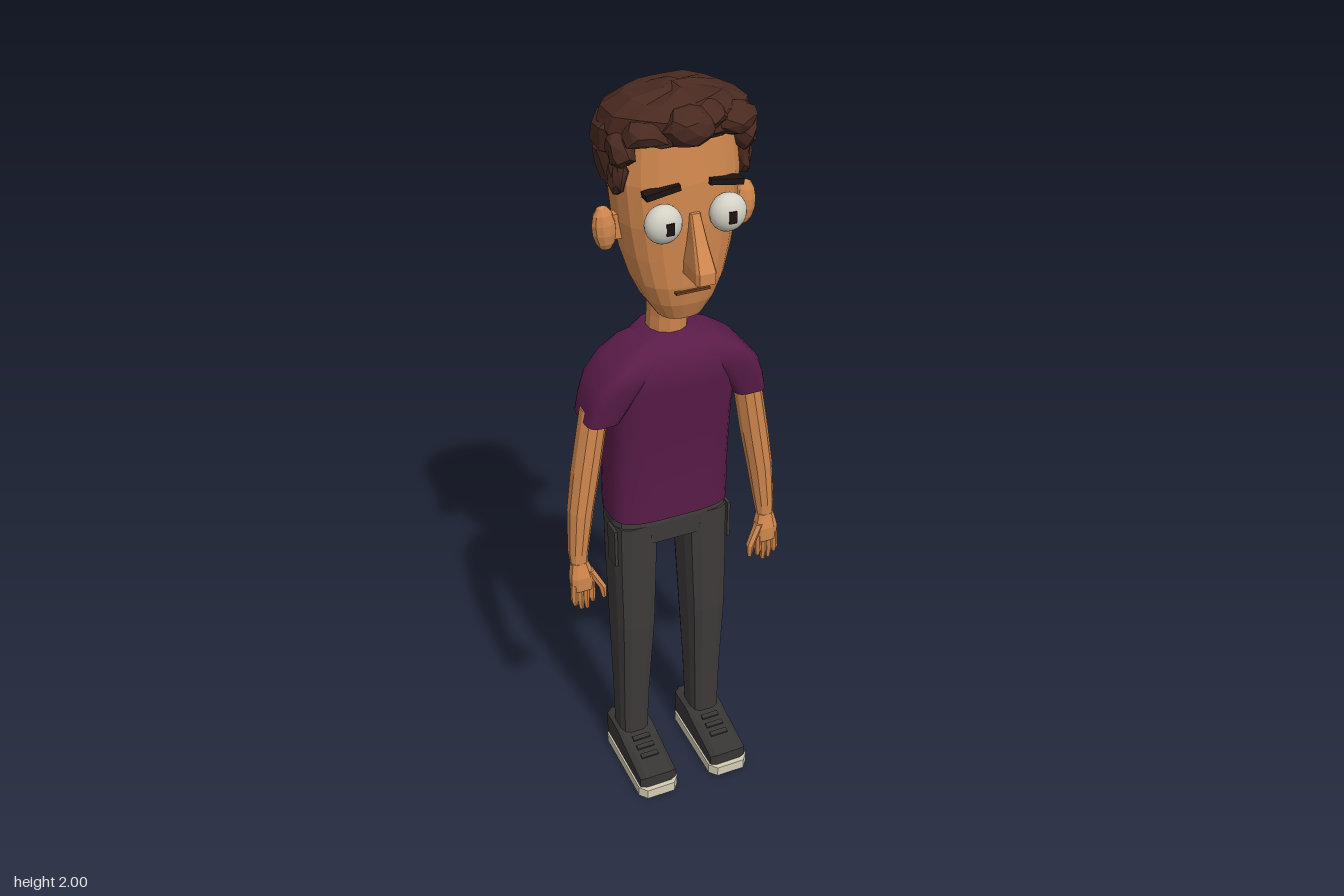
import * as THREE from 'three';
import { toCreasedNormals } from 'three/addons/utils/BufferGeometryUtils.js';

const mat = (name, color) => {
  const m = new THREE.MeshStandardMaterial({ color });
  m.name = name;
  return m;
};

// Surface through horizontal rings, bottom to top: [y, centreX, halfWidth, zFront, zBack]
function loft(rings, n = 12, power = 2.5) {
  const pos = [], idx = [];
  const bend = v => Math.sign(v) * Math.abs(v) ** (2 / power);
  for (const [y, cx, rx, zf, zb] of rings) {
    for (let i = 0; i < n; i++) {
      const a = ((i + 0.5) / n) * Math.PI * 2;
      pos.push(cx + rx * bend(Math.cos(a)), y, (zf + zb) / 2 + ((zf - zb) / 2) * bend(Math.sin(a)));
    }
  }
  const last = rings.length - 1;
  for (const r of [rings[0], rings[last]]) pos.push(r[1], r[0], (r[3] + r[4]) / 2);
  const bottom = n * rings.length;
  for (let i = 0; i < n; i++) {
    const j = (i + 1) % n;
    for (let k = 0; k < last; k++) {
      const a = k * n + i, b = k * n + j;
      idx.push(a, a + n, b, b, a + n, b + n);
    }
    idx.push(bottom, i, j, bottom + 1, last * n + j, last * n + i);
  }
  const g = new THREE.BufferGeometry();
  g.setAttribute('position', new THREE.Float32BufferAttribute(pos, 3));
  g.setIndex(idx);
  return g;
}

function flat(g) {
  const f = g.index ? g.toNonIndexed() : g;
  f.computeVertexNormals();
  return f;
}

// Shifts each vertex by an amount that depends only on where it is
function ruffle(g, amount) {
  const p = g.attributes.position;
  const noise = (x, y, z, k) => {
    const s = Math.sin(Math.round(x * 1e4) * 0.127 + Math.round(y * 1e4) * 0.311 + Math.round(z * 1e4) * 0.747 + k) * 437.58;
    return (s - Math.floor(s) - 0.5) * 2 * amount;
  };
  for (let i = 0; i < p.count; i++) {
    const x = p.getX(i), y = p.getY(i), z = p.getZ(i);
    p.setXYZ(i, x + noise(x, y, z, 1), y + noise(x, y, z, 2), z + noise(x, y, z, 3));
  }
  return g;
}

export function createModel() {
  const model = new THREE.Group();
  const skin = mat('skin', 0xd0874e), hair = mat('hair', 0x492a20), shirt = mat('shirt', 0x5a1c49);
  const cloth = mat('trousers', 0x3e3a3a), shoe = mat('shoe', 0x383535), sole = mat('sole', 0xd3ccb4);
  const eyeWhite = mat('eyeWhite', 0xd4d2c5), dark = mat('dark', 0x1e1212), lip = mat('lip', 0x6e3a22);

  const add = (name, geo, m, parent = model) => {
    const mesh = new THREE.Mesh(geo, m);
    mesh.name = name;
    parent.add(mesh);
    return mesh;
  };
  const box = (name, w, h, d, x, y, z, m) => {
    const b = add(name, new THREE.BoxGeometry(w, h, d), m);
    b.position.set(x, y, z);
    return b;
  };

  // Head, neck and nose
  add('head', flat(loft([
    [1.455, 0, 0.055, 0.065, -0.05], [1.5, 0, 0.085, 0.085, -0.08], [1.55, 0, 0.108, 0.096, -0.1],
    [1.62, 0, 0.128, 0.099, -0.12], [1.7, 0, 0.142, 0.103, -0.132], [1.8, 0, 0.15, 0.1, -0.14],
    [1.89, 0, 0.142, 0.09, -0.13], [1.95, 0, 0.1, 0.06, -0.1]], 20)), skin);
  add('neck', flat(loft([[1.33, 0, 0.052, -0.005, -0.115], [1.42, 0, 0.05, 0.0, -0.105],
    [1.53, 0, 0.052, 0.02, -0.095]], 12, 2)), skin);
  add('nose', flat(loft([[1.59, 0, 0.025, 0.176, 0.08], [1.618, 0, 0.025, 0.176, 0.08],
    [1.67, 0, 0.018, 0.145, 0.08], [1.735, 0, 0.012, 0.11, 0.07]], 8, 8)), skin);
  box('mouth', 0.085, 0.006, 0.02, 0, 1.54, 0.09, lip);

  // Shirt body
  add('shirtBody', toCreasedNormals(loft([
    [0.85, 0, 0.16, 0.015, -0.165], [1.0, 0, 0.16, 0.02, -0.165], [1.15, 0, 0.16, 0.035, -0.155],
    [1.25, 0, 0.165, 0.05, -0.142], [1.32, 0, 0.15, 0.058, -0.128], [1.36, 0, 0.095, 0.035, -0.12],
    [1.382, 0, 0.06, 0.005, -0.115]], 24, 3.6), 0.8), shirt);

  // Trouser seat
  add('trouserSeat', flat(loft([[0.77, 0, 0.15, 0.0, -0.145], [0.83, 0, 0.158, 0.004, -0.152],
    [0.86, 0, 0.156, 0.0, -0.15]], 16, 4)), cloth);

  // Shoe outlines: sole seen from below, upper seen from the side
  const soleShape = new THREE.Shape([[-0.035, -0.14], [0.035, -0.14], [0.058, -0.115], [0.058, 0.12],
    [0.04, 0.142], [-0.04, 0.142], [-0.058, 0.12], [-0.058, -0.115]].map(p => new THREE.Vector2(...p)));
  const upperShape = new THREE.Shape([[-0.125, 0.03], [0.12, 0.03], [0.12, 0.058], [0.0, 0.084],
    [-0.045, 0.098], [-0.125, 0.098]].map(p => new THREE.Vector2(...p)));

  for (const s of [1, -1]) {
    const side = s > 0 ? 'left' : 'right';

    // Face details
    const eye = add(side + 'Eye', new THREE.SphereGeometry(1, 20, 14), eyeWhite);
    eye.scale.set(0.044, 0.045, 0.034);
    eye.position.set(0.078 * s, 1.725, 0.109);
    box(side + 'Pupil', 0.018, 0.028, 0.008, 0.075 * s, 1.725, 0.14, dark);
    box(side + 'Brow', 0.082, 0.014, 0.03, 0.076 * s, 1.796, 0.094, dark).rotation.z = -0.16 * s;
    const ear = add(side + 'Ear', flat(new THREE.SphereGeometry(1, 10, 7).toNonIndexed()), skin);
    ear.scale.set(0.029, 0.055, 0.024);
    ear.position.set(0.173 * s, 1.685, -0.004);
    ear.rotation.z = -0.08 * s;
    box(side + 'EarRoot', 0.04, 0.06, 0.025, 0.148 * s, 1.685, -0.01, skin);

    // Sleeve
    add(side + 'Sleeve', toCreasedNormals(loft([
      [1.182, 0.195 * s, 0.044, 0.034, -0.095], [1.23, 0.175 * s, 0.054, 0.042, -0.1],
      [1.28, 0.15 * s, 0.062, 0.05, -0.105], [1.325, 0.11 * s, 0.062, 0.054, -0.11],
      [1.355, 0.08 * s, 0.045, 0.035, -0.105], [1.37, 0.065 * s, 0.03, 0.01, -0.09]], 20, 4), 0.9), shirt);

    // Arm and hand
    add(side + 'Arm', flat(loft([
      [0.755, 0.265 * s, 0.022, 0.008, -0.032], [0.8, 0.263 * s, 0.027, 0.008, -0.045],
      [0.92, 0.25 * s, 0.034, 0.01, -0.06], [1.03, 0.232 * s, 0.037, 0.01, -0.065],
      [1.21, 0.202 * s, 0.036, 0.01, -0.065]], 10, 2)), skin);
    add(side + 'Palm', flat(loft([[0.69, 0.262 * s, 0.032, 0.017, -0.018], [0.73, 0.262 * s, 0.033, 0.018, -0.024],
      [0.77, 0.264 * s, 0.022, 0.008, -0.03]], 8, 3)), skin);
    for (let i = 0; i < 4; i++) {
      const x = (0.238 + i * 0.016) * s, tip = [0.645, 0.628, 0.63, 0.645][i];
      add(side + 'Finger', flat(loft([[tip, x, 0.006, 0.014, -0.004],
        [0.66, x + 0.002 * s, 0.009, 0.017, -0.008], [0.71, x, 0.009, 0.015, -0.012]], 6, 2)), skin);
    }
    add(side + 'Thumb', flat(loft([[0.655, 0.21 * s, 0.006, 0.022, 0.006], [0.69, 0.213 * s, 0.011, 0.024, 0.0],
      [0.745, 0.242 * s, 0.012, 0.016, -0.014]], 6, 2)), skin);

    // Trouser leg with pockets
    add(side + 'Leg', flat(loft([
      [0.085, 0.109 * s, 0.041, -0.022, -0.115], [0.25, 0.107 * s, 0.045, -0.015, -0.12],
      [0.5, 0.103 * s, 0.054, 0.004, -0.132], [0.7, 0.1 * s, 0.059, 0.004, -0.144],
      [0.83, 0.097 * s, 0.061, 0.003, -0.15]], 12, 3.5)), cloth);
    box(side + 'SidePocket', 0.008, 0.11, 0.05, 0.16 * s, 0.77, -0.04, cloth);
    box(side + 'BackPocket', 0.075, 0.075, 0.008, 0.095 * s, 0.795, -0.152, cloth);

    // Shoe
    const foot = new THREE.Group();
    foot.name = side + 'Shoe';
    foot.position.x = 0.107 * s;
    model.add(foot);
    const bottom = new THREE.ExtrudeGeometry(soleShape, { depth: 0.03, bevelEnabled: false });
    bottom.rotateX(Math.PI / 2).translate(0, 0.03, 0);
    add('sole', bottom, sole, foot);
    const top = new THREE.ExtrudeGeometry(upperShape,
      { depth: 0.074, bevelSize: 0.008, bevelThickness: 0.016, bevelSegments: 1 });
    top.rotateY(-Math.PI / 2).translate(0.037, 0, 0);
    add('upper', top, shoe, foot);
    for (let i = 0; i < 3; i++) {
      const lace = add('lace', new THREE.BoxGeometry(0.05, 0.008, 0.014), shoe, foot);
      lace.position.set(0, 0.094 - i * 0.0065, 0.0 + i * 0.03);
      lace.rotation.x = 0.21;
    }
  }

  // Hair: stepped layers at the back, a broad crown, then loose locks
  const hairLayers = [
    [[1.695, 0, 0.08, -0.09, -0.125], [1.73, 0, 0.125, -0.02, -0.148], [1.79, 0, 0.153, 0.0, -0.163], [1.82, 0, 0.14, 0, -0.14]],
    [[1.765, 0, 0.145, 0.015, -0.15], [1.8, 0, 0.162, 0.045, -0.17], [1.85, 0, 0.17, 0.05, -0.17], [1.88, 0, 0.15, 0.03, -0.14]],
    [[1.845, 0, 0.155, 0.03, -0.15], [1.865, 0, 0.172, 0.06, -0.17], [1.91, 0, 0.174, 0.08, -0.165], [1.93, 0, 0.15, 0.06, -0.14]],
    [[1.895, 0, 0.155, 0.095, -0.13], [1.915, 0, 0.17, 0.11, -0.15], [1.95, 0, 0.16, 0.11, -0.14],
      [1.98, 0, 0.115, 0.085, -0.1], [1.992, 0, 0.05, 0.04, -0.05]],
  ];
  for (const rings of hairLayers) add('hairLayer', flat(ruffle(loft(rings, 14, 2.2), 0.007)), hair);

  // Locks: centre, then radii
  const locks = [
    [-0.015, 1.935, 0.1, 0.058, 0.045, 0.052], [0.035, 1.945, 0.075, 0.05, 0.035, 0.05],
    [-0.095, 1.92, 0.065, 0.06, 0.036, 0.045], [0.105, 1.925, 0.065, 0.06, 0.038, 0.045],
    [-0.145, 1.88, 0.035, 0.032, 0.04, 0.045], [0.145, 1.88, 0.035, 0.03, 0.045, 0.045],
    [-0.15, 1.825, 0.03, 0.02, 0.055, 0.03], [0.15, 1.825, 0.03, 0.02, 0.055, 0.03],
    [-0.02, 1.968, -0.01, 0.08, 0.026, 0.07],
  ];
  for (const [x, y, z, rx, ry, rz] of locks) {
    const g = new THREE.IcosahedronGeometry(1, 1).scale(rx, ry, rz).translate(x, y, z);
    add('hairLock', flat(ruffle(g, 0.006)), hair);
  }
  return model;
}
